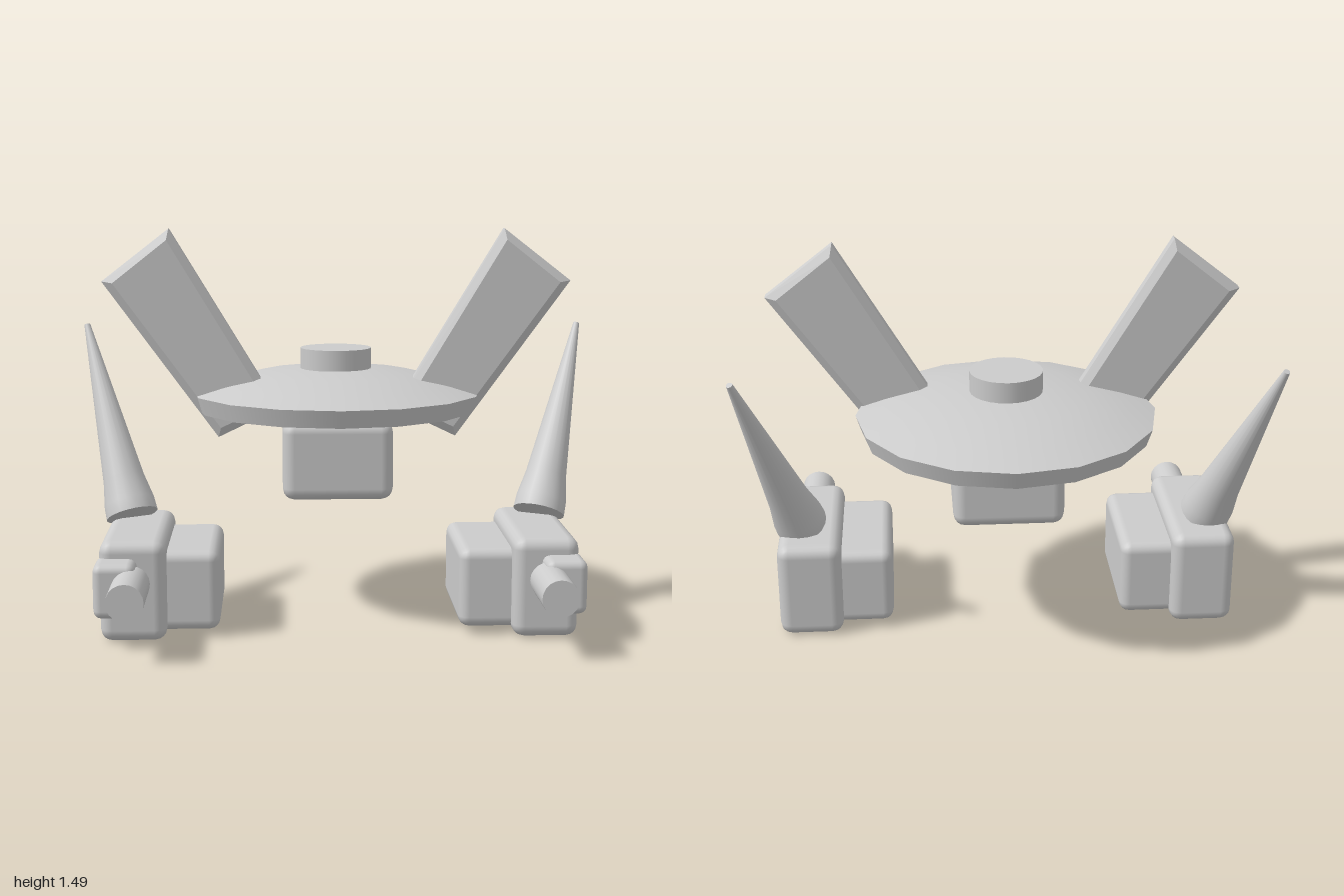
import * as THREE from 'three';
import { RoundedBoxGeometry } from 'three/addons/geometries/RoundedBoxGeometry.js';

export function createModel() {
  const model = new THREE.Group();
  const grey = new THREE.MeshStandardMaterial({ color: 0xcccccc });
  grey.name = 'grey';

  const add = (name, geometry, x = 0, y = 0, z = 0) => {
    const mesh = new THREE.Mesh(geometry, grey);
    mesh.name = name;
    mesh.position.set(x, y, z);
    model.add(mesh);
    return mesh;
  };

  // Box with softened edges, given by its min and max corners; side mirrors x
  const box = (name, [x0, y0, z0], [x1, y1, z1], radius, side = 1) =>
    add(name, new RoundedBoxGeometry(x1 - x0, y1 - y0, z1 - z0, 2, radius),
      side * (x0 + x1) / 2, (y0 + y1) / 2, (z0 + z1) / 2);

  const lathe = (profile, sides) =>
    new THREE.LatheGeometry(profile.map(([r, y]) => new THREE.Vector2(r, y)), sides);

  // Saucer head: separate shells keep the rim edges sharp
  const headZ = -0.1;
  add('headUnderside', lathe([[0, 0.75], [0.26, 0.756], [0.54, 0.797]], 16), 0, 0, headZ);
  add('headRim', lathe([[0.54, 0.797], [0.562, 0.863]], 16), 0, 0, headZ);
  add('headTop', lathe([[0.562, 0.863], [0.46, 0.895], [0.3, 0.935], [0.12, 0.953], [0, 0.955]], 16), 0, 0, headZ);
  add('headCap', new THREE.CylinderGeometry(0.137, 0.137, 0.09, 24), 0, 0.985, headZ);

  // Body block under the head
  box('body', [-0.208, 0.475, -0.295], [0.208, 0.775, 0.16], 0.045);

  for (const side of [1, -1]) {
    const label = side > 0 ? 'left' : 'right';

    // Tapered, bevelled blade rising through the head
    const outline = [[0.45, 0.705], [0.88, 1.295], [0.628, 1.49], [0.22, 0.815]];
    const blade = new THREE.ExtrudeGeometry(
      new THREE.Shape(outline.map(([x, y]) => new THREE.Vector2(side * x, y))),
      { depth: 0.04, bevelThickness: 0.02, bevelSize: 0.03, bevelOffset: -0.03, bevelSegments: 1 });
    add(label + 'Blade', blade, 0, 0, 0.005);

    // Foot made of an outer and an inner block
    box(label + 'OuterFoot', [0.635, 0, -0.225], [0.878, 0.375, 0.375], 0.045, side);
    box(label + 'InnerFoot', [0.442, 0.025, -0.18], [0.68, 0.325, 0.32], 0.04, side);

    // Gun block and barrel
    box(label + 'GunBlock', [0.738, 0.115, 0.31], [0.89, 0.315, 0.475], 0.03, side);
    const barrel = add(label + 'Barrel', new THREE.CylinderGeometry(0.067, 0.067, 0.26, 20), side * 0.757, 0.228, 0.53);
    barrel.rotation.x = Math.PI / 2;

    // Swept-back spike with a flared base
    const base = new THREE.Vector3(side * 0.79, 0.39, -0.027);
    const tip = new THREE.Vector3(side * 0.986, 1.097, -0.362);
    const axis = tip.clone().sub(base);
    const length = axis.length();
    const turn = new THREE.Quaternion().setFromUnitVectors(new THREE.Vector3(0, 1, 0), axis.normalize());
    const parts = {
      Spike: [[0.1, 0], [0.098, 0.05], [0.08, 0.15], [0.012, length]],
      SpikeBase: [[0, 0], [0.1, 0]],
      SpikeTip: [[0.012, length], [0, length]],
    };
    for (const [name, profile] of Object.entries(parts)) {
      add(label + name, lathe(profile, 20), base.x, base.y, base.z).quaternion.copy(turn);
    }
  }
  return model;
}
